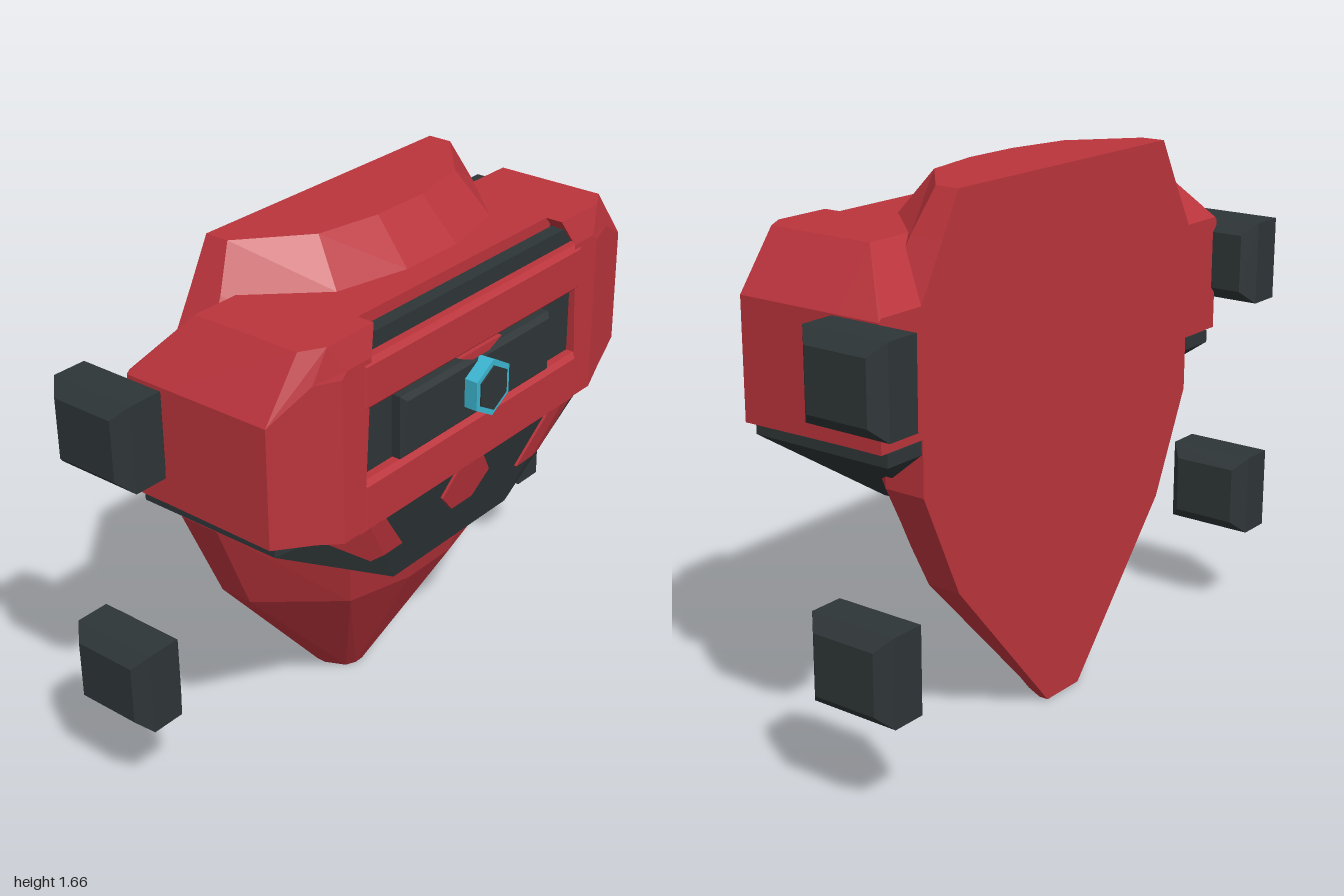
import * as THREE from 'three';

const red = new THREE.MeshStandardMaterial({ color: 0xbb343c });
red.name = 'red armour';
const dark = new THREE.MeshStandardMaterial({ color: 0x2e3537 });
dark.name = 'dark grey';
const blue = new THREE.MeshStandardMaterial({ color: 0x3bb4cf });
blue.name = 'light blue';

// Flat-shaded solid through rings of [x, y, z] points, capped at both ends
function loft(rings) {
  const tris = [];
  const n = rings[0].length;
  for (let r = 0; r < rings.length - 1; r++) {
    for (let i = 0; i < n; i++) {
      const j = (i + 1) % n;
      const [a, b, c, d] = [rings[r][i], rings[r][j], rings[r + 1][j], rings[r + 1][i]];
      tris.push([a, b, c], [a, c, d]);
    }
  }
  const last = rings[rings.length - 1];
  for (let i = 1; i < n - 1; i++) {
    tris.push([rings[0][0], rings[0][i + 1], rings[0][i]], [last[0], last[i], last[i + 1]]);
  }
  // Turn the faces outward if the enclosed volume is negative
  const v = (p) => new THREE.Vector3(...p);
  const origin = v(rings[0][0]);
  let volume = 0;
  for (const t of tris) {
    const [a, b, c] = t.map((p) => v(p).sub(origin));
    volume += a.dot(b.cross(c));
  }
  if (volume < 0) tris.forEach((t) => t.reverse());
  const g = new THREE.BufferGeometry();
  g.setAttribute('position', new THREE.Float32BufferAttribute(tris.flat(2), 3));
  g.computeVertexNormals();
  return g;
}

function shapeOf(points) {
  return new THREE.Shape(points.map(([x, y]) => new THREE.Vector2(x, y)));
}

// Box whose front and back rims are chamfered by b, centred on the origin
function bevelBox(w, h, d, b) {
  const x = w / 2 - b, y = h / 2 - b;
  const g = new THREE.ExtrudeGeometry(shapeOf([[-x, -y], [x, -y], [x, y], [-x, y]]), {
    depth: d - 2 * b, bevelEnabled: true, bevelSegments: 1, bevelSize: b, bevelThickness: b,
  });
  return g.translate(0, 0, b - d / 2);
}

// Front surface of the belt, used to lay plates on it
function beltZ(x, y) {
  const t = Math.min((y - 0.625) / 0.33, 1);
  const ridge = 0.28 + 0.22 * t, edge = 0.281 + 0.52 * t;
  const front = 0.24 + 0.07 * t, side = 0.24 + 0.01 * t;
  const k = THREE.MathUtils.clamp((Math.abs(x) - ridge) / (edge - ridge), 0, 1);
  return front + (side - front) * k;
}

function beltPlate(points) {
  const g = new THREE.ExtrudeGeometry(shapeOf(points), { depth: 0.022, bevelEnabled: false });
  g.translate(0, 0, -0.013);
  const p = g.attributes.position;
  for (let i = 0; i < p.count; i++) p.setZ(i, p.getZ(i) + beltZ(p.getX(i), p.getY(i)));
  g.computeVertexNormals();
  return g;
}

export function createModel() {
  const model = new THREE.Group();
  const add = (name, geometry, material, x = 0, y = 0, z = 0) => {
    const mesh = new THREE.Mesh(geometry, material);
    mesh.name = name;
    mesh.position.set(x, y, z);
    model.add(mesh);
    return mesh;
  };

  // Core shell: rounded front, flat back, tapering to the foot
  const profile = [[1, 0], [1, 0.28], [0.62, 0.86], [0.2, 1]];
  const back = -0.24;
  const coreRings = [
    [0, 0.08, -0.13], [0.5, 0.51, 0.16], [0.83, 0.66, 0.25],
    [1.37, 0.66, 0.24], [1.53, 0.57, 0.155], [1.66, 0.5, 0.04],
  ].map(([y, w, front]) => {
    const half = profile.map(([u, v]) => [u * w, y, back + v * (front - back)]);
    return [...half, ...half.slice().reverse().map(([x, yy, z]) => [-x, yy, z])];
  });
  add('coreShell', loft(coreRings), red);

  // Dark belt under the chest
  const beltRings = [
    [0.625, 0.28, 0.165, 0.24, 0.279, 0.24],
    [0.955, 0.8, -0.235, 0.25, 0.5, 0.31],
    [0.995, 0.8, -0.235, 0.25, 0.5, 0.31],
  ].map(([y, w, zb, zs, wf, zf]) => [
    [w, y, zb], [w, y, zs], [wf, y, zf], [-wf, y, zf], [-w, y, zs], [-w, y, zb],
  ]);
  add('belt', loft(beltRings), dark);

  // Chest filling: dark panel with a red cover behind its top edge
  add('chestPanel', new THREE.BoxGeometry(1.06, 0.595, 0.3), dark, 0, 1.1975, 0.14);
  add('chestCover', new THREE.BoxGeometry(0.92, 0.5, 0.34), red, 0, 1.28, 0.075);

  // Horizontal chest bars
  add('upperBar', bevelBox(1.04, 0.15, 0.1, 0.015), red, 0, 1.37, 0.28);
  add('lowerBar', bevelBox(1.04, 0.165, 0.1, 0.015), red, 0, 0.998, 0.28);
  const tab = shapeOf([[-0.1, 1.3], [-0.04, 1.275], [0.04, 1.275], [0.1, 1.3]]);
  add('barTab', new THREE.ExtrudeGeometry(tab, { depth: 0.05, bevelEnabled: false }), red, 0, 0, 0.285);

  // Centre plate with hexagonal lamp
  add('centrePlate', bevelBox(0.71, 0.195, 0.06, 0.015), dark, 0, 1.1825, 0.307);
  const hexagon = (r) => Array.from({ length: 6 }, (_, i) => {
    const a = Math.PI / 6 + (i * Math.PI) / 3;
    return new THREE.Vector2(r * Math.cos(a), r * Math.sin(a));
  });
  const ring = new THREE.Shape(hexagon(0.09));
  ring.holes.push(new THREE.Path(hexagon(0.071)));
  add('lampRing', new THREE.ExtrudeGeometry(ring, { depth: 0.05, bevelEnabled: false }), blue, 0, 1.185, 0.33);
  const lamp = new THREE.Shape(hexagon(0.071));
  add('lampCore', new THREE.ExtrudeGeometry(lamp, { depth: 0.055, bevelEnabled: false }), dark, 0, 1.185, 0.33);

  // Hexagonal plate on the belt
  add('beltPlate', beltPlate([
    [-0.05, 0.765], [0.05, 0.765], [0.115, 0.835], [0.06, 0.915], [-0.06, 0.915], [-0.115, 0.835],
  ]), red);

  for (const s of [1, -1]) {
    const side = s > 0 ? 'left' : 'right';

    // Shoulder: bevelled at the back, top and front
    const shoulderRings = [
      // z, inner, outer, bottom, outer top, ridge, top
      [-0.24, 0.46, 0.83, 1.0, 1.36, 0.82, 1.37],
      [-0.1, 0.46, 0.83, 1.0, 1.36, 0.7, 1.53],
      [0.26, 0.515, 0.83, 0.995, 1.36, 0.7, 1.53],
      [0.3, 0.515, 0.69, 0.96, 1.44, 0.63, 1.53],
      [0.325, 0.515, 0.6, 0.93, 1.43, 0.58, 1.45],
    ].map(([z, inner, outer, lo, mid, ridge, top]) => [
      [inner, lo], [outer, lo], [outer, mid], [ridge, top],
      [top > 1.5 ? 0.44 : 0.48, top], [inner, Math.min(1.45, top) - 0.01],
    ].map(([x, y]) => [s * x, y, z]));
    add(side + 'Shoulder', loft(shoulderRings), red);

    // Pointed belt plates, folded along the belt ridge
    const inner = [[0.37, 0.76], [0.285, 0.76], [0.4, 0.91], [0.474, 0.917]];
    const outer = [[0.37, 0.76], [0.474, 0.917], [0.52, 0.93], [0.82, 1.0], [0.67, 0.96], [0.42, 0.76]];
    const mirror = (pts) => pts.map(([x, y]) => [s * x, y]);
    add(side + 'InnerFang', beltPlate(mirror(inner)), red);
    add(side + 'OuterFang', beltPlate(mirror(outer)), red);

    // Grip blocks beside the shell
    for (const [name, y] of [['Upper', 1.23], ['Lower', 0.4325]]) {
      const grip = bevelBox(0.29, 0.265, 0.19, 0.04).rotateY(Math.PI / 2);
      add(side + name + 'Grip', grip, dark, s * 0.905, y, -0.24);
    }
  }
  return model;
}
